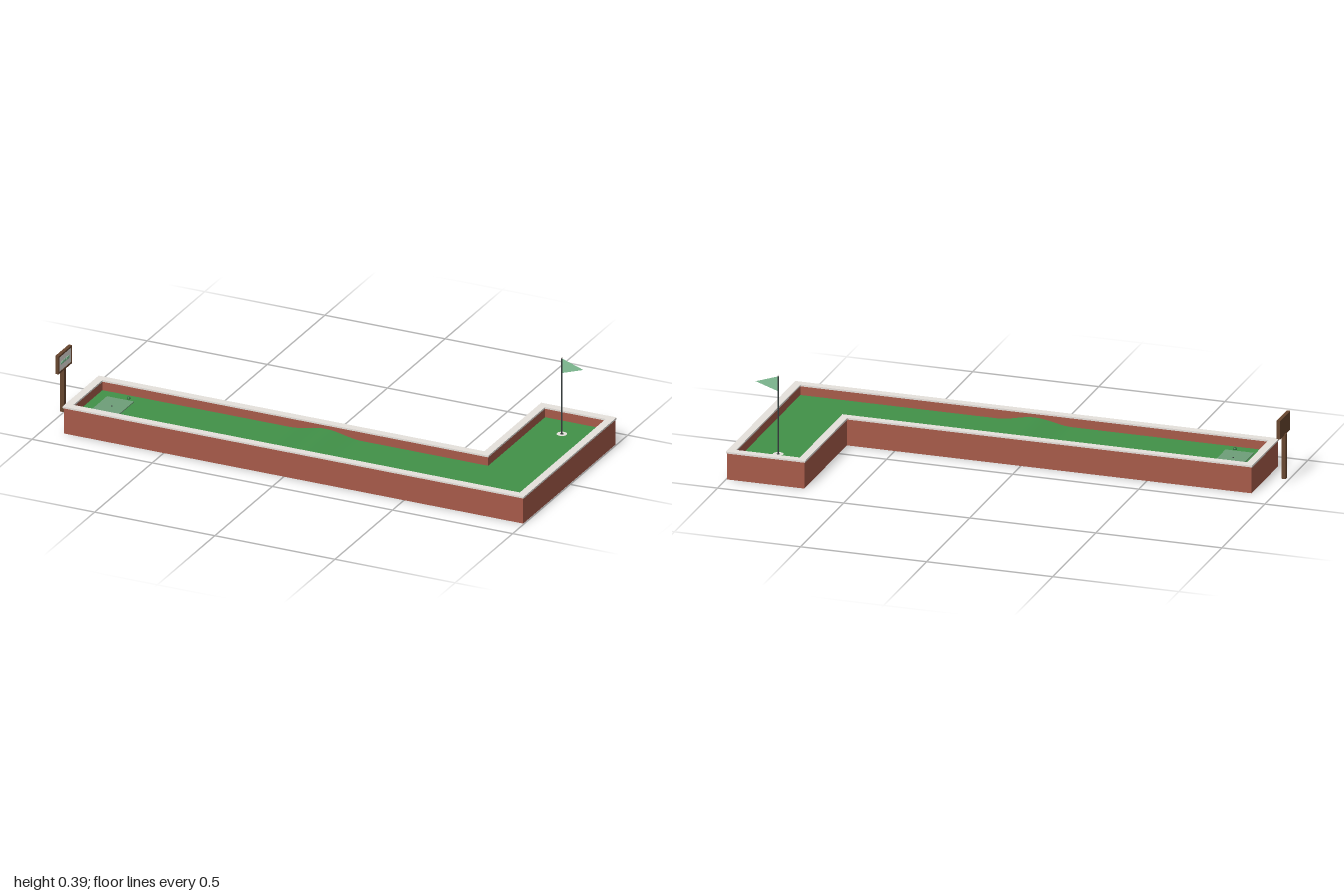
import * as THREE from 'three';

const mat = (name, color, side = THREE.FrontSide) => {
  const m = new THREE.MeshStandardMaterial({ color, side });
  m.name = name;
  return m;
};

// L-shaped outline of the course, pulled inwards by d; shape y is -z
function outline(d, Type = THREE.Shape) {
  const pts = [
    [-0.919 + d, -0.404 + d], [1 - d, -0.404 + d], [1 - d, 0.404 - d],
    [0.686 + d, 0.404 - d], [0.686 + d, -0.09 - d], [-0.919 + d, -0.09 - d],
  ];
  return new Type(pts.map(([x, y]) => new THREE.Vector2(x, y)));
}

// Upright L-shaped slab or ring between two heights
function lGeometry(outer, inner, y0, y1) {
  const shape = outline(outer);
  if (inner !== null) shape.holes.push(outline(inner, THREE.Path));
  const g = new THREE.ExtrudeGeometry(shape, { depth: y1 - y0, bevelEnabled: false });
  return g.rotateX(-Math.PI / 2).translate(0, y0, 0);
}

export function createModel() {
  const model = new THREE.Group();
  model.name = 'miniGolfHole';
  const brick = mat('brick', 0xa65a49);
  const stone = mat('paleStone', 0xe6e2dd);
  const turf = mat('turf', 0x419148);
  const concrete = mat('concrete', 0xb6b3aa);
  const matGreen = mat('teeMatGreen', 0x6e9e78);
  const markerGreen = mat('markerGreen', 0x2f6b3a);
  const dark = mat('darkMetal', 0x3a4242);
  const wood = mat('wood', 0x67462f);
  const mint = mat('mint', 0x88c79c, THREE.DoubleSide);

  const add = (name, geo, material, x = 0, y = 0, z = 0, parent = model) => {
    const m = new THREE.Mesh(geo, material);
    m.name = name;
    m.position.set(x, y, z);
    parent.add(m);
    return m;
  };
  const box = (w, h, d) => new THREE.BoxGeometry(w, h, d);
  const cyl = (r, h, n = 20) => new THREE.CylinderGeometry(r, r, h, n);

  // Walls, footing, coping and base
  const floor = 0.07;
  add('brickWall', lGeometry(0.004, 0.03, 0.05, 0.105), brick);
  add('brickFooting', lGeometry(0.004, 0.04, 0, 0.05), brick);
  add('coping', lGeometry(0, 0.031, 0.105, 0.112), stone);
  add('baseSlab', lGeometry(0.038, null, 0.003, 0.058), concrete);

  // Lane with a smooth hump across it
  const x0 = -0.89, x1 = 0.971, hump = 0.04, half = 0.15;
  const profile = new THREE.Shape();
  profile.moveTo(x0, 0.058);
  profile.lineTo(x1, 0.058);
  profile.lineTo(x1, floor);
  for (let i = 0; i <= 24; i++) {
    const t = 1 - i / 12;
    profile.lineTo(hump + t * half, floor + 0.0105 * (1 + Math.cos(t * Math.PI)));
  }
  profile.lineTo(x0, floor);
  const lane = new THREE.ExtrudeGeometry(profile, { depth: 0.256, bevelEnabled: false });
  add('turfLane', lane, turf, 0, 0, 0.119);
  add('turfGreen', box(0.256, floor - 0.058, 0.494), turf, 0.843, (floor + 0.058) / 2, -0.128);

  // Tee mat, ball spot and markers
  add('teeMat', box(0.112, 0.004, 0.152), matGreen, -0.79, floor + 0.002, 0.2465);
  add('teeSpot', cyl(0.003, 0.002, 12), dark, -0.79, floor + 0.005, 0.2465);
  for (const s of [-1, 1]) {
    add('teeMarker', new THREE.SphereGeometry(0.007, 14, 10), markerGreen, -0.765, floor + 0.003, 0.2465 + s * 0.095);
  }

  // Cup with flagstick
  const pin = new THREE.Group();
  pin.name = 'flagstick';
  pin.position.set(0.841, 0, -0.26);
  model.add(pin);
  const rim = new THREE.RingGeometry(0.007, 0.02, 28).rotateX(-Math.PI / 2);
  add('cupRim', rim, stone, 0, floor + 0.002, 0, pin);
  add('cupHole', new THREE.CircleGeometry(0.007, 28).rotateX(-Math.PI / 2), dark, 0, floor + 0.001, 0, pin);
  add('pole', cyl(0.0026, 0.315, 10), dark, 0, floor + 0.1575, 0, pin);
  add('poleKnob', new THREE.SphereGeometry(0.0035, 12, 8), stone, 0, 0.385, 0, pin);
  const pennant = new THREE.Shape([
    new THREE.Vector2(0, 0.322), new THREE.Vector2(0.09, 0.352), new THREE.Vector2(0, 0.382),
  ]);
  add('flag', new THREE.ShapeGeometry(pennant), mint, 0, 0, 0, pin);

  // Sign facing along the lane
  const sign = new THREE.Group();
  sign.name = 'sign';
  sign.position.set(-0.99, 0, 0.248);
  model.add(sign);
  add('signPost', box(0.016, 0.178, 0.018), wood, -0.002, 0.105, 0, sign);
  add('signBoard', box(0.01, 0.072, 0.114), wood, -0.001, 0.2285, 0, sign);
  add('signPanel', box(0.002, 0.062, 0.104), stone, 0.005, 0.2285, 0, sign);
  for (const s of [-1, 1]) {
    add('frameRail', box(0.014, 0.007, 0.117), wood, 0.001, 0.2285 + s * 0.0335, 0, sign);
    add('frameStile', box(0.014, 0.074, 0.007), wood, 0.001, 0.2285, s * 0.055, sign);
  }
  for (let i = -2; i <= 2; i++) {
    add('signDot', cyl(0.007, 0.002).rotateZ(Math.PI / 2), mint, 0.007, 0.228, i * 0.0148, sign);
  }
  return model;
}
